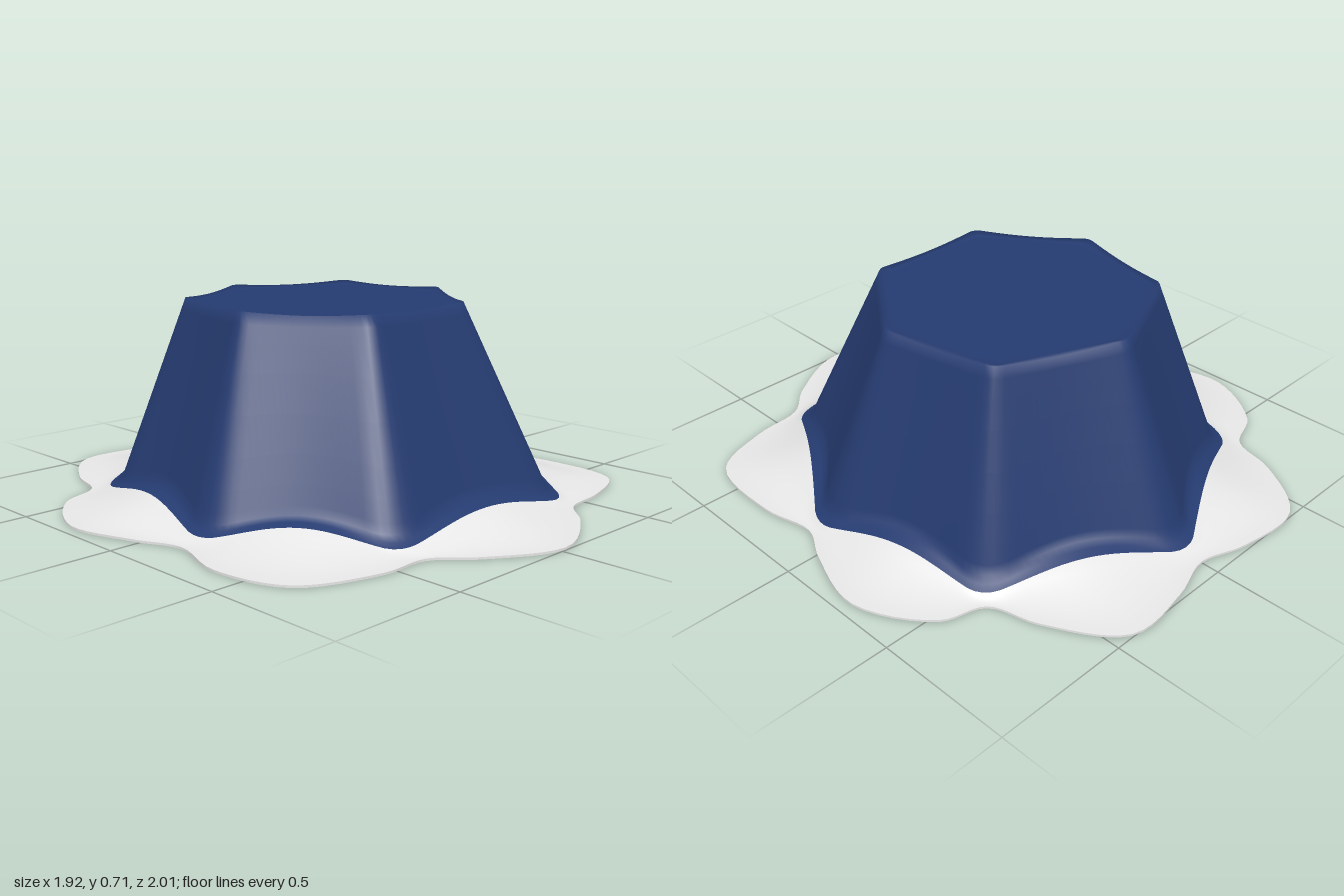
import * as THREE from 'three';

const SIDES = 7, STEPS = 24, N = SIDES * STEPS;

// Corners [x, z] of the flat top and of the wall foot, starting at the back
const TOP = [[0, -0.57], [0.43, -0.39], [0.515, 0.03], [0.24, 0.39], [-0.23, 0.39], [-0.48, 0.03], [-0.385, -0.39]];
const HEM = [[0, -0.885], [0.655, -0.56], [0.8, 0.11], [0.415, 0.72], [-0.415, 0.7], [-0.785, 0.16], [-0.63, -0.565]];

// Petal outline: a notch and three petal points for each side
const PETALS = [
  [0, -0.935], [0.18, -0.985], [0.43, -0.995], [0.6, -0.76],
  [0.66, -0.59], [0.81, -0.53], [0.955, -0.28], [0.89, -0.02],
  [0.825, 0.12], [0.86, 0.32], [0.82, 0.63], [0.6, 0.73],
  [0.41, 0.76], [0.29, 0.87], [0.02, 0.998], [-0.24, 0.87],
  [-0.37, 0.76], [-0.55, 0.755], [-0.82, 0.64], [-0.895, 0.38],
  [-0.835, 0.14], [-0.9, -0.03], [-0.96, -0.28], [-0.82, -0.53],
  [-0.66, -0.61], [-0.6, -0.78], [-0.43, -0.99], [-0.17, -0.985],
];

// A closed ring along the polygon; dent pulls the side middles inwards and
// the corners are rounded by averaging over the given number of neighbours
function polygonRing(corners, scale, dent, round, height) {
  const sharp = Array.from({ length: N }, (_, j) => {
    const k = Math.floor(j / STEPS), t = (j % STEPS) / STEPS;
    const a = corners[k], b = corners[(k + 1) % SIDES];
    const arch = Math.sin(Math.PI * t);
    const x = a[0] + (b[0] - a[0]) * t, z = a[1] + (b[1] - a[1]) * t;
    const s = scale - dent * arch / Math.hypot(x, z);
    return new THREE.Vector3(x * s, height(arch), z * s);
  });
  return sharp.map((_, j) => {
    const mean = new THREE.Vector3();
    for (let d = -round; d <= round; d++) mean.add(sharp[(j + d + N) % N]);
    return mean.divideScalar(2 * round + 1);
  });
}

// A ring between two rings, with its own easing for the height
const between = (a, b, s, sy = s) => a.map((p, j) => {
  const q = p.clone().lerp(b[j], s);
  q.y = p.y + (b[j].y - p.y) * sy;
  return q;
});

// Skin neighbouring rings, changing material after the ring at index split
function skin(rings, split) {
  const position = rings.flatMap(r => r.flatMap(p => [p.x, p.y, p.z]));
  const index = [];
  for (let i = 0; i < rings.length - 1; i++) {
    for (let j = 0; j < N; j++) {
      const a = i * N + j, b = i * N + (j + 1) % N;
      index.push(a, b, a + N, b, b + N, a + N);
    }
  }
  const g = new THREE.BufferGeometry();
  g.setAttribute('position', new THREE.Float32BufferAttribute(position, 3));
  g.setIndex(index);
  g.computeVertexNormals();
  g.addGroup(0, split * N * 6, 0);
  g.addGroup(split * N * 6, index.length - split * N * 6, 1);
  return g;
}

export function createModel() {
  const group = new THREE.Group();
  const blue = new THREE.MeshStandardMaterial({ color: 0x253b70, side: THREE.DoubleSide });
  blue.name = 'blue';
  const grey = new THREE.MeshStandardMaterial({ color: 0xe6e6e6, side: THREE.DoubleSide });
  grey.name = 'pale grey';
  const paleBlue = new THREE.MeshStandardMaterial({ color: 0x80a8cc });
  paleBlue.name = 'pale blue';

  // Key rings: flat top, wall foot, wavy hem and petal outline
  const top = polygonRing(TOP, 1, 0, 1, a => 0.716 - 0.01 * a);
  const foot = polygonRing(HEM, 0.962, 0.045, 3, a => 0.055 + 0.055 * a);
  const hem = polygonRing(HEM, 1, 0.015, 2, a => 0.032 + 0.055 * a ** 1.5);
  const curve = new THREE.CatmullRomCurve3(
    PETALS.map(([x, z]) => new THREE.Vector3(x, 0.016, z)), true, 'centripetal');
  const rim = Array.from({ length: N }, (_, j) => curve.getPoint(j / N));

  // Blue body from the top centre, over the edge and down to the hem
  const rings = [0, 0.5, 0.9, 0.95].map(s => polygonRing(TOP, s, 0, 1, () => 0.703));
  rings.push(top);
  for (const s of [0.06, 0.15, 0.3, 0.5, 0.7, 0.85, 0.95, 1]) rings.push(between(top, foot, s));
  rings.push(between(foot, hem, 0.45, 0.6), hem);
  const split = rings.length - 1;

  // Grey petals sweep from the hem out to the rim
  for (let i = 1; i <= 8; i++) rings.push(between(hem, rim, i / 8, 1 - (1 - i / 8) ** 2));

  const body = new THREE.Mesh(skin(rings, split), [blue, grey]);
  body.name = 'bodyAndPetals';
  group.add(body);

  // Thin edge of the petals
  const low = rim.map(p => new THREE.Vector3(p.x, 0.008, p.z));
  const edge = new THREE.Mesh(skin([rim, low], 1), [grey, grey]);
  edge.name = 'petalEdge';
  group.add(edge);

  // Flat underside
  const outline = new THREE.Shape(rim.map(p => new THREE.Vector2(p.x, p.z)));
  const underside = new THREE.Mesh(new THREE.ShapeGeometry(outline), paleBlue);
  underside.name = 'underside';
  underside.rotation.x = Math.PI / 2;
  underside.position.y = 0.008;
  group.add(underside);

  return group;
}
